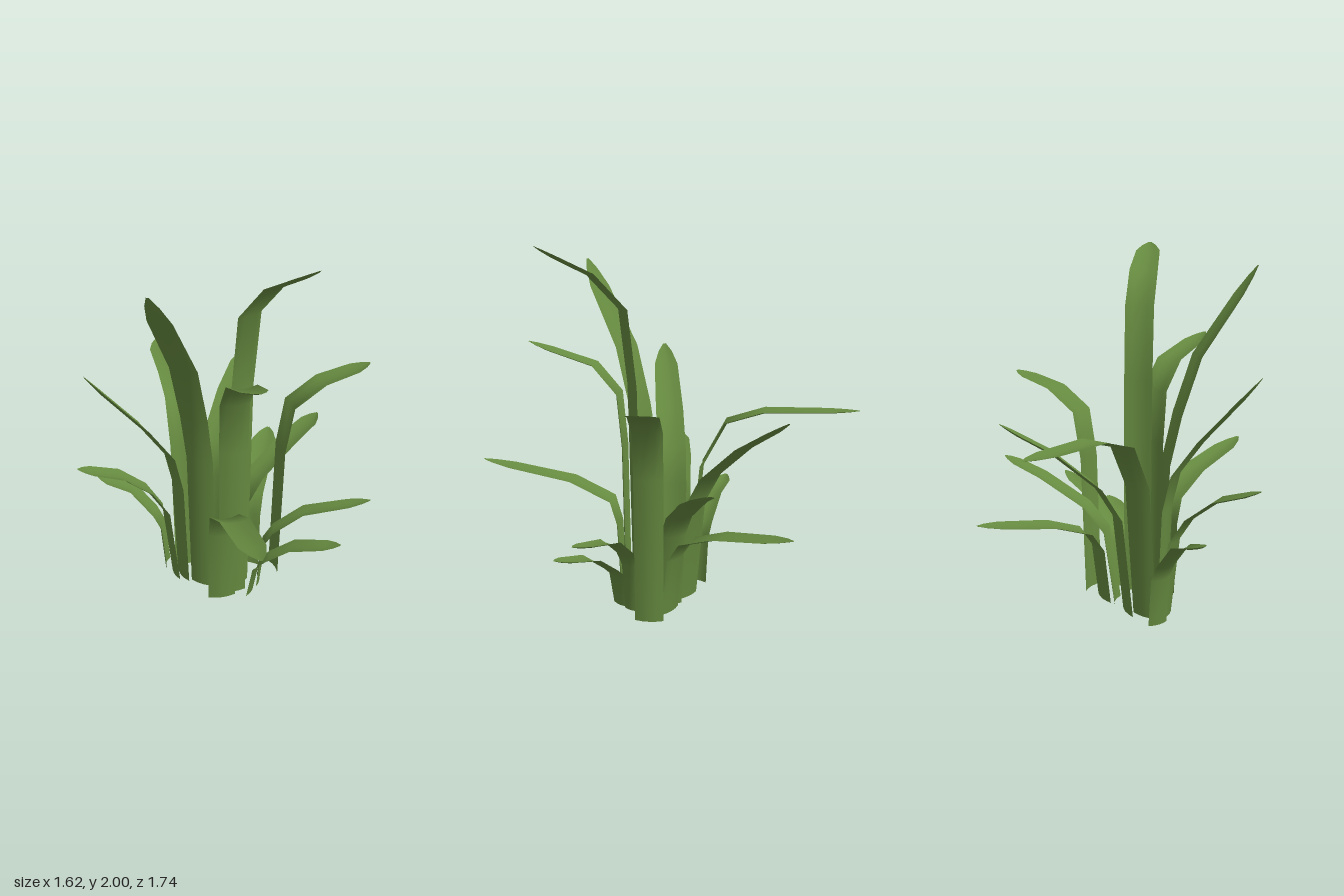
import * as THREE from 'three';

// Each blade: base x, z, tip x, z, tip height, knee (fraction of reach, height),
// shoulder (fraction of reach, height), and a width where it is not the usual one
const BLADES = [
  [0.13, 0.07, 0.63, 0.28, 2.0, 0.14, 1.67, 0.47, 1.86],
  [-0.05, 0.15, -0.045, 0.7, 1.9, 0.18, 1.1, 0.38, 1.42],
  [0.13, 0.145, 0.47, 0.58, 1.475, 0.08, 1.2, 0.33, 1.36],
  [-0.195, 0.125, -0.52, 0.55, 1.37, 0.14, 0.82, 0.41, 1.02],
  [0.255, -0.165, 0.66, -0.53, 1.26, 0.14, 1.07, 0.47, 1.19],
  [-0.13, -0.055, -0.18, -0.745, 1.13, 0.25, 0.75, 0.6, 0.96, 0.175],
  [-0.215, 0.02, -0.81, -0.72, 1.1, 0.22, 1.02, 0.45, 1.09],
  [-0.24, 0.13, -0.62, 0.52, 0.8, 0.27, 0.6, 0.55, 0.72, 0.14],
  [0.1, 0.22, 0.61, 0.865, 0.775, 0.08, 0.57, 0.36, 0.68],
  [0.02, -0.075, 0.32, -0.66, 0.83, 0.27, 0.57, 0.66, 0.73, 0.14],
  [-0.33, 0.06, -0.71, 0.19, 0.57, 0.18, 0.36, 0.5, 0.51, 0.12],
  [0.22, 0, 0.805, -0.22, 0.575, 0.14, 0.36, 0.41, 0.49, 0.115],
  [0.22, 0.1, 0.73, 0.04, 0.41, 0.2, 0.25, 0.47, 0.35, 0.13],
  [0.08, -0.14, -0.085, -0.87, 0.56, 0.15, 0.43, 0.42, 0.5, 0.165],
];
const BULGE = 0.016;
const ACROSS = 4;

function bladeGeometry([bx, bz, tx, tz, height, kneeS, kneeY, shoulderS, shoulderY, width = 0.155]) {
  const reach = Math.hypot(tx - bx, tz - bz);
  const dx = (tx - bx) / reach, dz = (tz - bz) / reach;

  // Rows along the spine: distance outwards, height, relative width
  const rows = [
    [0, 0, 1],
    [kneeS * reach * 0.35, kneeY * 0.75, 1.03],
    [kneeS * reach, kneeY, 1.05],
    [shoulderS * reach, shoulderY, 1.05],
  ];
  // Taper from the shoulder to the pointed tip
  for (const [f, w] of [[0.68, 0.9], [0.88, 0.52], [1, 0.1]]) {
    const s = THREE.MathUtils.lerp(shoulderS, 1, f);
    rows.push([s * reach, THREE.MathUtils.lerp(shoulderY, height, f), w]);
  }

  // Sweep a shallow arc, bulging outwards, along the rows
  const positions = [], index = [], n = ACROSS + 1;
  rows.forEach(([r, y, w], i) => {
    const a = rows[Math.max(i - 1, 0)], b = rows[Math.min(i + 1, rows.length - 1)];
    const span = Math.hypot(b[0] - a[0], b[1] - a[1]);
    const outR = (b[1] - a[1]) / span, outY = i ? -(b[0] - a[0]) / span : 0;
    for (let k = 0; k < n; k++) {
      const u = 2 * k / ACROSS - 1;
      const side = u * width * w / 2, out = (1 - u * u) * BULGE * w;
      const radial = r + outR * out;
      positions.push(bx + dx * radial - dz * side, y + outY * out, bz + dz * radial + dx * side);
    }
    if (i === 0) return;
    for (let k = 0; k < ACROSS; k++) {
      const p = (i - 1) * n + k, q = i * n + k;
      index.push(p, q, p + 1, p + 1, q, q + 1);
    }
  });

  const geometry = new THREE.BufferGeometry();
  geometry.setAttribute('position', new THREE.Float32BufferAttribute(positions, 3));
  geometry.setIndex(index);
  geometry.computeVertexNormals();
  return geometry;
}

export function createModel() {
  const group = new THREE.Group();
  group.name = 'grassClump';
  const green = new THREE.MeshStandardMaterial({ color: 0x668a40, side: THREE.DoubleSide });
  green.name = 'leafGreen';

  BLADES.forEach((blade, i) => {
    const mesh = new THREE.Mesh(bladeGeometry(blade), green);
    mesh.name = `leafBlade${i + 1}`;
    group.add(mesh);
  });
  return group;
}
